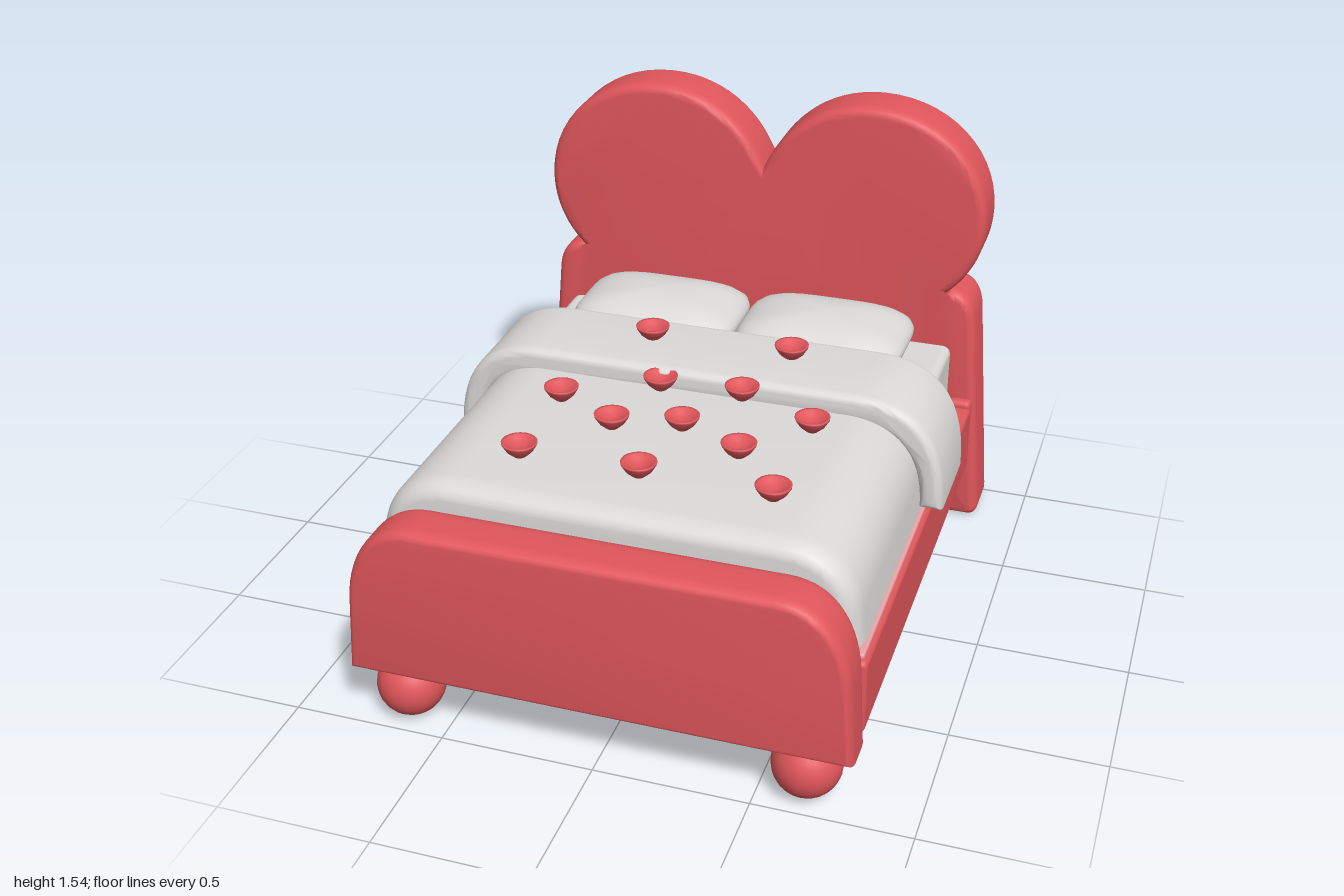
import * as THREE from 'three';
import { toCreasedNormals } from 'three/addons/utils/BufferGeometryUtils.js';
import { RoundedBoxGeometry } from 'three/addons/geometries/RoundedBoxGeometry.js';

export function createModel() {
  const bed = new THREE.Group();
  bed.name = 'bed';
  const mat = (name, color) => {
    const m = new THREE.MeshStandardMaterial({ color });
    m.name = name;
    return m;
  };
  const red = mat('red', 0xe0565b);
  const linen = mat('linen white', 0xdcdad8);
  const pink = mat('hem pink', 0xe8a4a8);

  const add = (name, geometry, material, x = 0, y = 0, z = 0) => {
    const mesh = new THREE.Mesh(geometry, material);
    mesh.name = name;
    mesh.position.set(x, y, z);
    bed.add(mesh);
  };

  // Outline extruded from z0 to z1 with rounded edges kept inside the outline
  const slab = (shape, z0, z1, bevel, thickness) => {
    const g = new THREE.ExtrudeGeometry(shape, {
      depth: z1 - z0 - 2 * thickness, bevelSize: bevel, bevelThickness: thickness,
      bevelOffset: -bevel, bevelSegments: 5, curveSegments: 14,
    });
    g.translate(0, 0, z0 + thickness);
    return toCreasedNormals(g, 0.75);
  };

  const rbox = (x0, x1, y0, y1, z0, z1, r) => {
    const g = new RoundedBoxGeometry(x1 - x0, y1 - y0, z1 - z0, 3, r);
    g.translate((x0 + x1) / 2, (y0 + y1) / 2, (z0 + z1) / 2);
    return g;
  };

  // Upright outline with wide rounded top corners; w narrows by lean towards the top
  const arch = (w, y0, y1, flat, ySide, lean) => {
    const s = new THREE.Shape();
    const t = w - lean;
    s.moveTo(-w, y0);
    s.lineTo(w, y0);
    s.lineTo(t, ySide);
    s.bezierCurveTo(t - 0.01, ySide + (y1 - ySide) * 0.6, flat + (t - flat) * 0.6, y1, flat, y1);
    s.lineTo(-flat, y1);
    s.bezierCurveTo(-flat - (t - flat) * 0.6, y1, -t + 0.01, ySide + (y1 - ySide) * 0.6, -t, ySide);
    return s;
  };

  // Headboard: two legs, shoulders and a twin-lobed top in one outline
  const head = new THREE.Shape();
  head.moveTo(-0.66, 0.17);
  head.lineTo(0.66, 0.17);
  head.lineTo(0.68, 0.04);
  head.quadraticCurveTo(0.69, 0, 0.73, 0);
  head.lineTo(0.81, 0);
  head.quadraticCurveTo(0.85, 0, 0.847, 0.05);
  head.lineTo(0.785, 0.8);
  head.quadraticCurveTo(0.77, 0.9, 0.69, 0.905);
  head.lineTo(0.655, 0.87);
  head.bezierCurveTo(0.74, 0.93, 0.8, 1.04, 0.8, 1.16);
  head.bezierCurveTo(0.8, 1.38, 0.62, 1.545, 0.39, 1.545);
  head.bezierCurveTo(0.2, 1.545, 0.06, 1.43, 0, 1.28);
  head.bezierCurveTo(-0.06, 1.43, -0.2, 1.545, -0.39, 1.545);
  head.bezierCurveTo(-0.62, 1.545, -0.8, 1.38, -0.8, 1.16);
  head.bezierCurveTo(-0.8, 1.04, -0.74, 0.93, -0.655, 0.87);
  head.lineTo(-0.69, 0.905);
  head.quadraticCurveTo(-0.77, 0.9, -0.785, 0.8);
  head.lineTo(-0.847, 0.05);
  head.quadraticCurveTo(-0.85, 0, -0.81, 0);
  head.lineTo(-0.73, 0);
  head.quadraticCurveTo(-0.69, 0, -0.68, 0.04);
  add('headboard', slab(head, -1, -0.79, 0.03, 0.04), red);

  // Footboard and ball feet
  add('footboard', slab(arch(0.805, 0.195, 0.737, 0.56, 0.45, 0.015), 0.83, 1, 0.025, 0.045), red);
  for (const side of [-1, 1]) {
    add('ballFoot', new THREE.SphereGeometry(0.11, 24, 16), red, side * 0.645, 0.112, 0.89);
  }

  // Base with side rails and short corner blocks
  add('base', rbox(-0.76, 0.76, 0.2, 0.44, -0.82, 0.86, 0.01), red);
  for (const side of [-1, 1]) {
    const a = side * 0.715, b = side * 0.8;
    add('sideRail', rbox(Math.min(a, b), Math.max(a, b), 0.205, 0.465, -0.82, 0.84, 0.02), red);
    add('cornerBlock', rbox(Math.min(a, b), Math.max(a, b), 0.3, 0.49, -0.82, -0.76, 0.02), red);
  }

  // Mattress and bedding
  add('mattress', rbox(-0.715, 0.715, 0.42, 0.705, -0.785, 0.7, 0.03), linen);
  add('blanket', slab(arch(0.782, 0.38, 0.8, 0.52, 0.58, 0.02), -0.32, 0.81, 0.05, 0.08), linen);
  add('blanketHem', rbox(-0.785, 0.785, 0.45, 0.477, -0.07, 0.815, 0.008), pink);

  // Folded band: hollow arch draped over the blanket
  const band = new THREE.Shape();
  band.moveTo(0.77, 0.49);
  band.lineTo(0.847, 0.49);
  band.bezierCurveTo(0.85, 0.75, 0.74, 0.865, 0.54, 0.865);
  band.lineTo(-0.54, 0.865);
  band.bezierCurveTo(-0.74, 0.865, -0.85, 0.75, -0.847, 0.49);
  band.lineTo(-0.77, 0.49);
  band.bezierCurveTo(-0.77, 0.68, -0.69, 0.77, -0.52, 0.77);
  band.lineTo(0.52, 0.77);
  band.bezierCurveTo(0.69, 0.77, 0.77, 0.68, 0.77, 0.49);
  add('foldedBand', slab(band, -0.36, 0.005, 0.028, 0.035), linen);

  // Pillows: a sphere squared off in plan, poles left in place
  const pillow = new THREE.SphereGeometry(1, 36, 20);
  const p = pillow.attributes.position;
  for (let i = 0; i < p.count; i++) {
    const x = p.getX(i), y = p.getY(i), z = p.getZ(i);
    const r = Math.hypot(x, z);
    const square = r < 1e-6 ? 1
      : Math.pow(Math.pow(Math.abs(x / r), 4.5) + Math.pow(Math.abs(z / r), 4.5), -1 / 4.5);
    p.setXYZ(i, x * square * 0.298, y * 0.092, z * square * 0.207);
  }
  const softPillow = toCreasedNormals(pillow, 1.2);
  for (const side of [-1, 1]) add('pillow', softPillow, linen, side * 0.3, 0.79, -0.575);

  // Small dished ornaments scattered on the bedding: x, z, top height
  const dish = new THREE.LatheGeometry([
    [0, -0.055], [0.02, -0.05], [0.042, -0.03], [0.056, -0.007], [0.057, 0],
    [0.048, -0.001], [0.036, -0.012], [0.018, -0.02], [0, -0.022],
  ].map(([r, y]) => new THREE.Vector2(r, y)), 20);
  const spots = [
    [-0.21, -0.21, 0.91], [0.275, -0.215, 0.91],
    [-0.1, 0.035, 0.86], [0.18, 0.04, 0.872], [0.44, 0.135, 0.85], [-0.39, 0.185, 0.85],
    [0.045, 0.25, 0.85], [-0.17, 0.31, 0.85], [0.265, 0.36, 0.85],
    [-0.38, 0.565, 0.85], [0.01, 0.565, 0.85], [0.435, 0.57, 0.85],
  ];
  for (const [x, z, y] of spots) add('ornament', dish, red, x, y, z);

  return bed;
}
